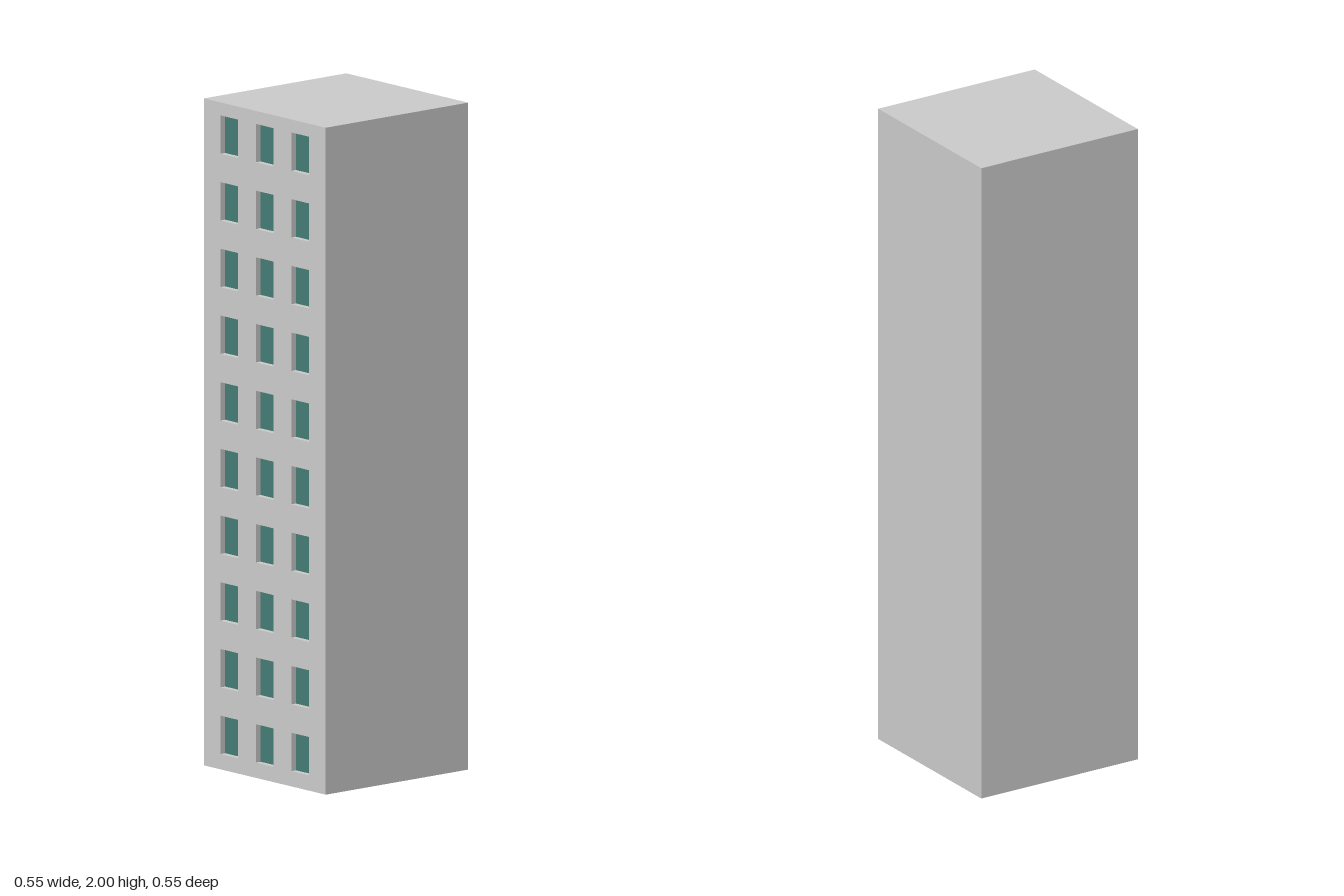
import * as THREE from 'three';

const WIDTH = 0.55, HEIGHT = 2, RECESS = 0.02;
const FLOORS = 10, FLOOR_HEIGHT = HEIGHT / FLOORS;
const COLUMNS = [-0.16, 0, 0.16];
const WIN_W = 0.08, WIN_H = 0.115, SILL = 0.046;

// Traces a rectangle from its lower left corner
function rectangle(path, x, y, w, h) {
  path.moveTo(x, y);
  path.lineTo(x + w, y);
  path.lineTo(x + w, y + h);
  path.lineTo(x, y + h);
  path.closePath();
  return path;
}

export function createModel() {
  const tower = new THREE.Group();
  tower.name = 'towerBlock';
  const wall = new THREE.MeshStandardMaterial({ color: 0xcccccc });
  const glass = new THREE.MeshStandardMaterial({ color: 0x447d74 });
  const front = WIDTH / 2;

  // Solid block behind the front wall
  const core = new THREE.Mesh(new THREE.BoxGeometry(WIDTH, HEIGHT, WIDTH - RECESS), wall);
  core.name = 'buildingBody';
  core.position.set(0, HEIGHT / 2, -RECESS / 2);
  tower.add(core);

  // Front wall with window openings, and a pane set back in each
  const outline = rectangle(new THREE.Shape(), -front, 0, WIDTH, HEIGHT);
  const windows = new THREE.Group();
  windows.name = 'windows';
  const paneGeometry = new THREE.PlaneGeometry(WIN_W, WIN_H);
  for (let floor = 0; floor < FLOORS; floor++) {
    const y = floor * FLOOR_HEIGHT + SILL;
    for (const x of COLUMNS) {
      outline.holes.push(rectangle(new THREE.Path(), x - WIN_W / 2, y, WIN_W, WIN_H));
      const pane = new THREE.Mesh(paneGeometry, glass);
      pane.name = 'windowPane';
      pane.position.set(x, y + WIN_H / 2, front - RECESS + 0.002);
      windows.add(pane);
    }
  }
  const facade = new THREE.Mesh(
    new THREE.ExtrudeGeometry(outline, { depth: RECESS, bevelEnabled: false }), wall);
  facade.name = 'frontWall';
  facade.position.z = front - RECESS;
  tower.add(facade, windows);

  return tower;
}
